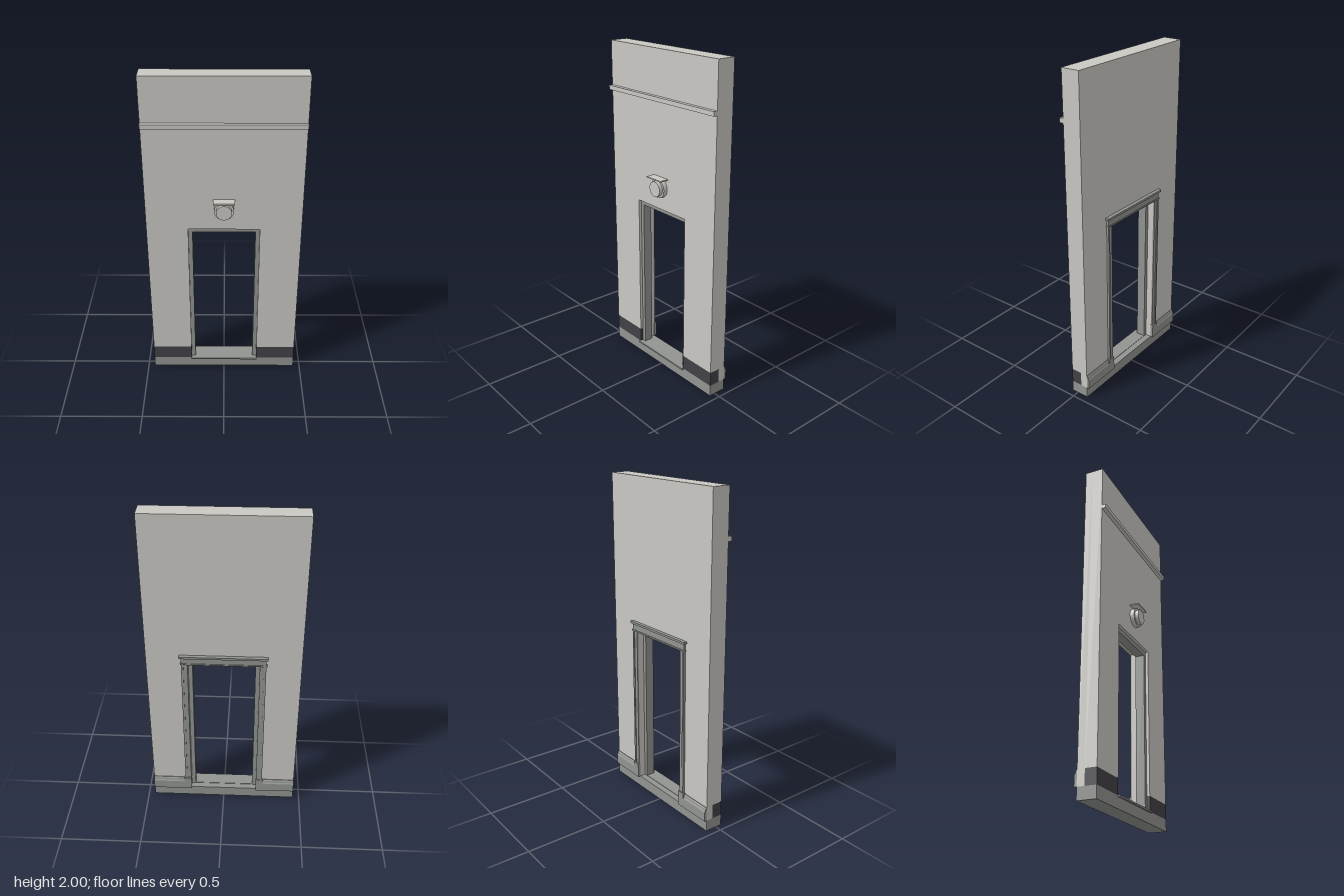
import * as THREE from 'three';

export function createModel() {
  const model = new THREE.Group();
  const mat = (name, color) => {
    const m = new THREE.MeshStandardMaterial({ color });
    m.name = name;
    return m;
  };
  const plaster = mat('pale plaster', 0xcac8c3);
  const stone = mat('grey stone', 0x919490);
  const dark = mat('dark plinth', 0x424146);

  const add = (name, geometry, material) => {
    const mesh = new THREE.Mesh(geometry, material);
    mesh.name = name;
    model.add(mesh);
    return mesh;
  };
  // Box given by its limits on each axis
  const box = (name, material, x0, x1, y0, y1, z0, z1) => {
    const g = new THREE.BoxGeometry(x1 - x0, y1 - y0, z1 - z0);
    g.translate((x0 + x1) / 2, (y0 + y1) / 2, (z0 + z1) / 2);
    return add(name, g, material);
  };

  const W = 0.458, FRONT = 0.038, MID = -0.03, BACK = -0.074;
  const BASE = 0.07, DOOR = 0.212, DOOR_TOP = 1.065;

  // Wall layers with the doorway cut out from below
  const wallLayer = (name, bottom, z0, z1) => {
    const s = new THREE.Shape();
    [[-W, bottom], [-DOOR, bottom], [-DOOR, DOOR_TOP], [DOOR, DOOR_TOP],
      [DOOR, bottom], [W, bottom], [W, 2], [-W, 2]]
      .forEach(([x, y], i) => (i ? s.lineTo(x, y) : s.moveTo(x, y)));
    const g = new THREE.ExtrudeGeometry(s, { depth: z1 - z0, bevelEnabled: false });
    g.translate(0, 0, z0);
    add(name, g, plaster);
  };
  wallLayer('outerWall', 0.16, MID, FRONT);
  wallLayer('innerWall', BASE, BACK, MID);

  // Foundation, threshold and string course
  box('foundation', stone, -W, W, 0, BASE, BACK, FRONT);
  box('threshold', stone, -0.215, 0.215, 0.063, 0.073, -0.035, 0.05);
  box('stringCourse', plaster, -W, W, 1.71, 1.736, FRONT, 0.062);

  // Door frame set inside the opening
  box('frameHead', stone, -DOOR, DOOR, 1.035, DOOR_TOP, -0.036, 0.02);

  // Skirting cross-section: (distance from wall, height)
  const skirting = new THREE.Shape([[0, BASE], [0.016, BASE], [0.016, 0.13],
    [0.011, 0.138], [0.008, 0.15], [0.003, 0.157], [0, 0.157]]
    .map(([x, y]) => new THREE.Vector2(x, y)));

  for (const side of [-1, 1]) {
    const span = (a, b) => (side > 0 ? [a, b] : [-b, -a]);
    const label = side > 0 ? 'left' : 'right';
    box(label + 'Plinth', dark, ...span(DOOR, W), BASE, 0.16, MID, FRONT);
    box(label + 'FrameJamb', stone, ...span(0.187, DOOR), BASE, 1.035, -0.036, 0.02);
    // Inside casing with a raised outer edge, standing on a block
    box(label + 'Casing', stone, ...span(DOOR, 0.242), 0.16, 1.07, -0.083, BACK);
    box(label + 'CasingEdge', stone, ...span(0.237, 0.25), 0.16, 1.07, -0.088, BACK);
    box(label + 'CasingBlock', stone, ...span(0.21, 0.258), BASE, 0.163, -0.091, BACK);
    // Inside skirting
    const g = new THREE.ExtrudeGeometry(skirting, { depth: W - 0.258, bevelEnabled: false });
    g.rotateY(Math.PI / 2);
    g.rotateY(Math.PI);
    // The section now runs along -x; turn it so it projects towards -z
    g.computeBoundingBox();
    const b = g.boundingBox;
    g.translate(-b.min.x, 0, -b.min.z);
    if (b.min.z > -0.001) g.rotateY(Math.PI).translate(W - 0.258, 0, 0);
    g.computeBoundingBox();
    const c = g.boundingBox;
    g.translate((side > 0 ? 0.258 : -W) - c.min.x, 0, BACK - c.max.z);
    add(label + 'Skirting', g, stone);
  }

  // Lintel board and cap over the inside of the door
  box('casingHead', stone, -0.25, 0.25, DOOR_TOP, 1.115, -0.086, BACK);
  box('casingHeadBead', stone, -0.255, 0.255, 1.068, 1.076, -0.09, BACK);
  box('casingCap', stone, -0.261, 0.261, 1.115, 1.128, -0.097, BACK);

  // Round wall lamp under a flat hood
  const disc = (name, r, z0, z1) => {
    const g = new THREE.CylinderGeometry(r, r, z1 - z0, 32);
    g.rotateX(Math.PI / 2).translate(0, 1.2, (z0 + z1) / 2);
    add(name, g, plaster);
  };
  disc('lampBase', 0.058, FRONT, 0.064);
  disc('lampFace', 0.046, 0.064, 0.086);
  box('lampHood', plaster, -0.063, 0.063, 1.259, 1.266, FRONT, 0.094);

  return model;
}
